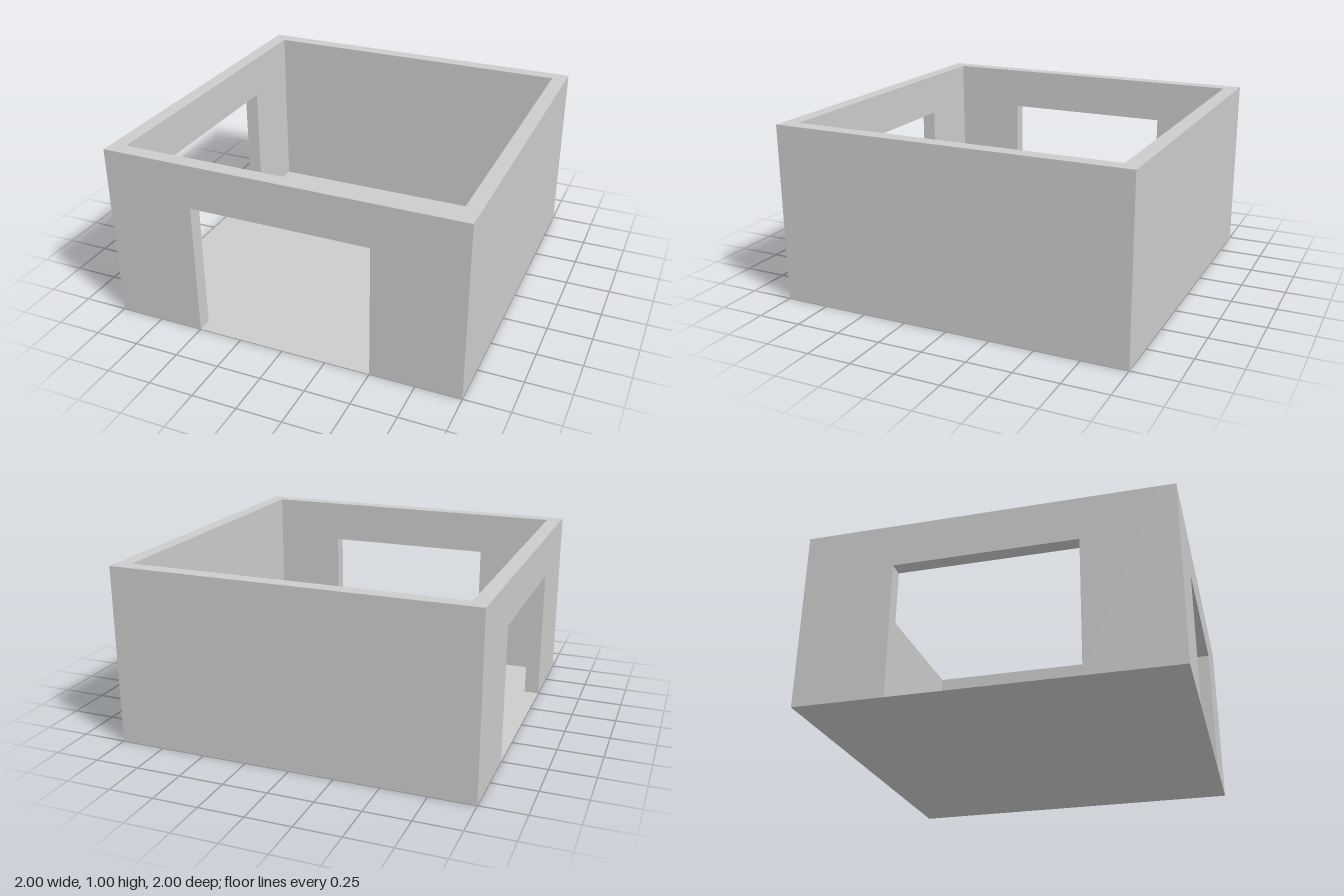
import * as THREE from 'three';

const HALF = 1, HEIGHT = 1, THICK = 0.083;
const DOOR_HALF = 0.5, DOOR_HEIGHT = 0.755;

// Upright wall panel, centred on its thickness, optionally with a doorway open to the ground
function wallGeometry(halfLength, hasDoor) {
  const outline = [[-halfLength, 0]];
  if (hasDoor) {
    outline.push([-DOOR_HALF, 0], [-DOOR_HALF, DOOR_HEIGHT], [DOOR_HALF, DOOR_HEIGHT], [DOOR_HALF, 0]);
  }
  outline.push([halfLength, 0], [halfLength, HEIGHT], [-halfLength, HEIGHT]);
  const shape = new THREE.Shape(outline.map(([x, y]) => new THREE.Vector2(x, y)));
  return new THREE.ExtrudeGeometry(shape, { depth: THICK, bevelEnabled: false }).translate(0, 0, -THICK / 2);
}

export function createModel() {
  const group = new THREE.Group();
  group.name = 'openRoom';
  const material = new THREE.MeshStandardMaterial({ color: 0xcccccc });

  // Front and back span the full width; the side walls fit between them
  const inset = HALF - THICK / 2;
  const walls = [
    { name: 'frontWall', x: 0, z: inset, length: HALF, door: true },
    { name: 'backWall', x: 0, z: -inset, length: HALF, door: false },
    { name: 'doorSideWall', x: -inset, z: 0, length: HALF - THICK, door: true },
    { name: 'solidSideWall', x: inset, z: 0, length: HALF - THICK, door: false },
  ];
  for (const { name, x, z, length, door } of walls) {
    const wall = new THREE.Mesh(wallGeometry(length, door), material);
    wall.name = name;
    wall.position.set(x, 0, z);
    if (x !== 0) wall.rotation.y = Math.PI / 2;
    group.add(wall);
  }

  // Thin floor, running out through both doorways
  const floorMaterial = new THREE.MeshStandardMaterial({ color: 0xcccccc, side: THREE.DoubleSide });
  const floor = new THREE.Mesh(new THREE.PlaneGeometry(2 * HALF, 2 * HALF).rotateX(-Math.PI / 2), floorMaterial);
  floor.name = 'floor';
  group.add(floor);

  return group;
}
